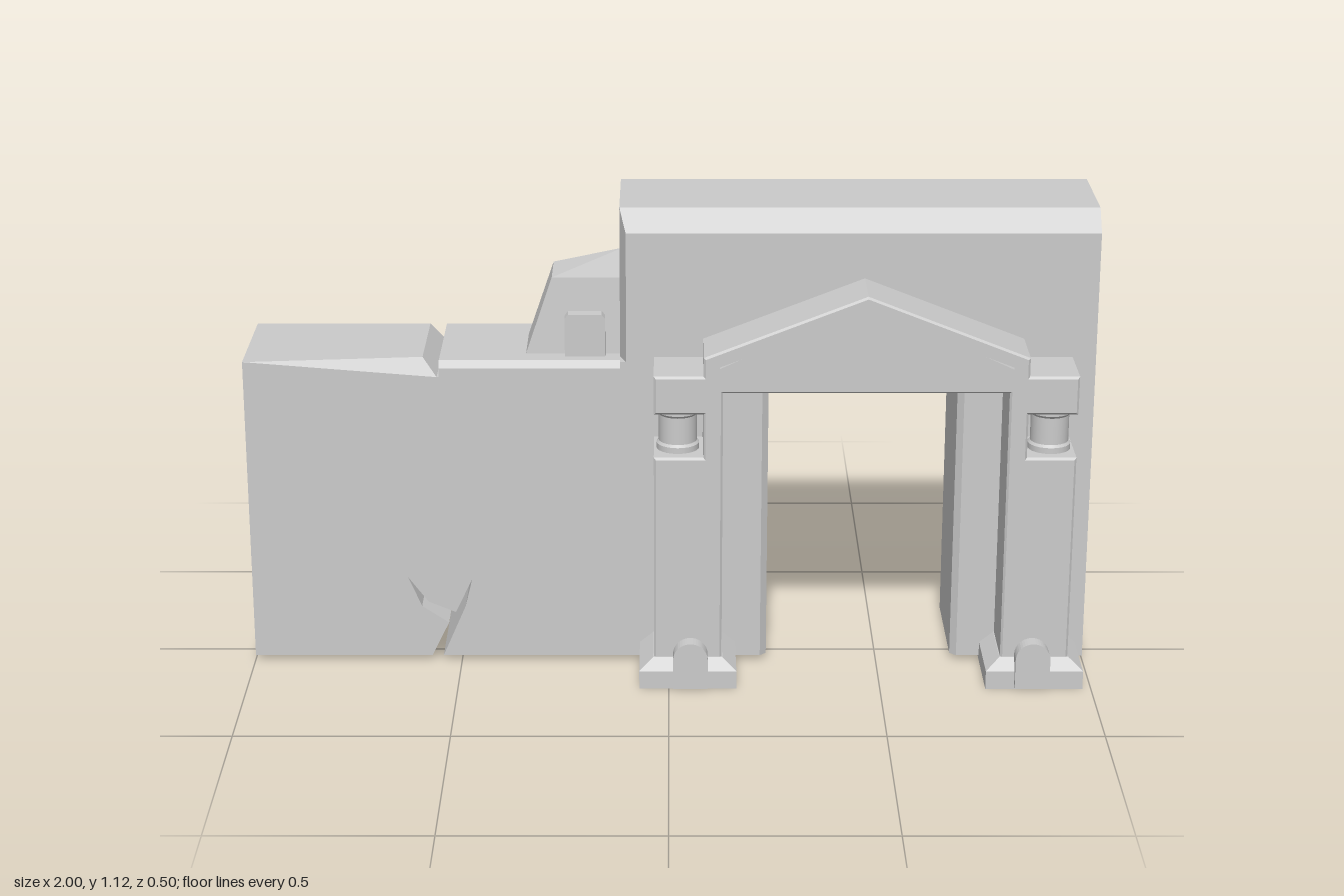
import * as THREE from 'three';
import { ConvexGeometry } from 'three/addons/geometries/ConvexGeometry.js';

const mat = new THREE.MeshStandardMaterial({ color: 0xcccccc, flatShading: true });
const smoothMat = new THREE.MeshStandardMaterial({ color: 0xcccccc });
const BACK = -0.24, FRONT = 0.06, MID = 0.455; // wall faces, doorway axis
const mx = (x) => 2 * MID - x; // mirror across the doorway axis

export function createModel() {
  const root = new THREE.Group();
  root.name = 'ruinedGateway';

  const add = (name, geo, material = mat) => {
    const m = new THREE.Mesh(geo, material);
    m.name = name;
    root.add(m);
    return m;
  };
  const hull = (name, pts) =>
    add(name, new ConvexGeometry(pts.map((p) => new THREE.Vector3(...p))));
  const shapeOf = (pts) => new THREE.Shape(pts.map((p) => new THREE.Vector2(...p)));
  const extrude = (name, shape, z0, z1, opts = {}) => {
    const g = new THREE.ExtrudeGeometry(shape, { depth: z1 - z0, bevelEnabled: false, curveSegments: 10, ...opts });
    return add(name, g.translate(0, 0, z0));
  };

  // Low wall with a forked crack cut through its foot
  extrude('lowWall', shapeOf([
    [-1, 0.01], [-0.572, 0.01], [-0.53, 0.096], [-0.594, 0.139], [-0.626, 0.214],
    [-0.578, 0.15], [-0.513, 0.123], [-0.472, 0.209], [-0.489, 0.139], [-0.545, 0.01],
    [-0.115, 0.01], [-0.115, 0.72], [-1, 0.72],
  ]), BACK, FRONT);
  // Raised shards at the crack tips on the back
  for (const [a, b, c] of [
    [[-0.626, 0.214], [-0.594, 0.139], [-0.61, 0.14]],
    [[-0.472, 0.209], [-0.489, 0.139], [-0.475, 0.14]],
  ]) hull('crackShard', [[...a, BACK], [...b, BACK], [...c, BACK], [...b, BACK - 0.008]]);

  // Worn top courses either side of the notch
  hull('wornTopLeft', [
    [-1, 0.72, BACK], [-1, 0.72, FRONT], [-0.545, 0.72, BACK], [-0.545, 0.72, FRONT],
    [-1, 0.757, BACK], [-1, 0.757, FRONT], [-0.58, 0.757, BACK], [-0.58, 0.757, 0.02],
  ]);
  hull('wornTopRight', [-0.54, -0.115].flatMap((x) => [
    [x, 0.72, BACK], [x, 0.72, FRONT], [x, 0.742, FRONT], [x, 0.757, 0.045], [x, 0.757, BACK],
  ]));

  // Door jambs, inner front edge chamfered
  for (const [outer, inner, s] of [[-0.115, 0.235, 1], [1, 0.68, -1]]) {
    hull('doorJamb', [0.01, 0.757].flatMap((y) => [
      [outer, y, BACK], [outer, y, FRONT], [inner - s * 0.015, y, FRONT],
      [inner, y, FRONT - 0.015], [inner, y, BACK],
    ]));
  }
  // Block over the doorway, chamfered along the front top and left edges
  hull('upperWall', [
    [-0.115, 0.757, BACK], [-0.115, 0.757, 0.015], [-0.1, 0.757, FRONT], [1, 0.757, FRONT], [1, 0.757, BACK],
    [-0.1, 1.07, FRONT], [1, 1.07, FRONT],
    [-0.115, 1.12, BACK], [-0.115, 1.12, 0.015], [1, 1.12, 0.015], [1, 1.12, BACK],
  ]);

  // Sloped buttress on the low wall
  hull('buttress', [
    [-0.338, 0.755, -0.005], [-0.338, 0.755, -0.16], [-0.11, 0.755, -0.005], [-0.11, 0.755, -0.195],
    [-0.275, 0.94, -0.02], [-0.275, 0.94, -0.152], [-0.11, 0.94, -0.02], [-0.11, 0.965, -0.185],
  ]);
  hull('buttressPanel', [-0.03, 0.018].flatMap((z) => [
    [-0.245, 0.755, z], [-0.15, 0.755, z], [-0.245, 0.85, z], [-0.237, 0.86, z], [-0.158, 0.86, z], [-0.15, 0.85, z],
  ]));

  // Portico: pillars, entablature and gable in one frame
  const half = [
    [0.125, 0.05], [-0.035, 0.05], [-0.035, 0.572], [0.08, 0.572], [0.08, 0.678],
    [-0.035, 0.678], [-0.035, 0.77], [0.08, 0.77], [0.08, 0.815], [MID, 0.962],
  ];
  const mirrored = half.slice(0, -1).reverse().map(([x, y]) => [mx(x), y]);
  const frame = shapeOf([...half, ...mirrored, [mx(0.125), 0.73], [0.125, 0.73]]);
  frame.holes.push(new THREE.Path([
    [0.112, 0.782], [0.112, 0.797], [MID, 0.93], [mx(0.112), 0.797], [mx(0.112), 0.782],
  ].map((p) => new THREE.Vector2(...p))));
  extrude('porticoFrame', frame, 0.05, 0.205, {
    bevelEnabled: true, bevelSegments: 1, bevelSize: 0.005, bevelThickness: 0.005, bevelOffset: -0.005,
  });
  extrude('gablePanel', shapeOf([[0.1, 0.775], [MID, 0.94], [mx(0.1), 0.775]]), 0.06, 0.19);

  // Colonnettes, plinths and bollards, one per side
  const profile = [
    [0, 0], [0.05, 0], [0.05, 0.014], [0.045, 0.02], [0.045, 0.085], [0.05, 0.091], [0.05, 0.106], [0, 0.106],
  ];
  for (const side of [(x) => x, mx]) {
    // doubled points keep the turned edges crisp
    const pts = profile.flatMap((p) => [new THREE.Vector2(...p), new THREE.Vector2(...p)]).slice(1, -1);
    add('colonnette', new THREE.LatheGeometry(pts, 24), smoothMat).position.set(side(0.021), 0.572, 0.13);

    hull('plinth', [-0.07, 0.16].flatMap((x) => [0, 0.045].flatMap((y) => [
      [side(x), y, 0.035], [side(x), y, 0.235],
    ])).concat([-0.037, 0.127].flatMap((x) => [[side(x), 0.072, 0.05], [side(x), 0.072, 0.212]])));

    const stone = new THREE.Shape();
    const c = side(0.051);
    stone.moveTo(c - 0.041, 0.005);
    stone.lineTo(c + 0.041, 0.005);
    stone.lineTo(c + 0.041, 0.079);
    stone.absarc(c, 0.079, 0.041, 0, Math.PI, false);
    stone.closePath();
    extrude('bollard', stone, 0.2, 0.248);
  }
  return root;
}
